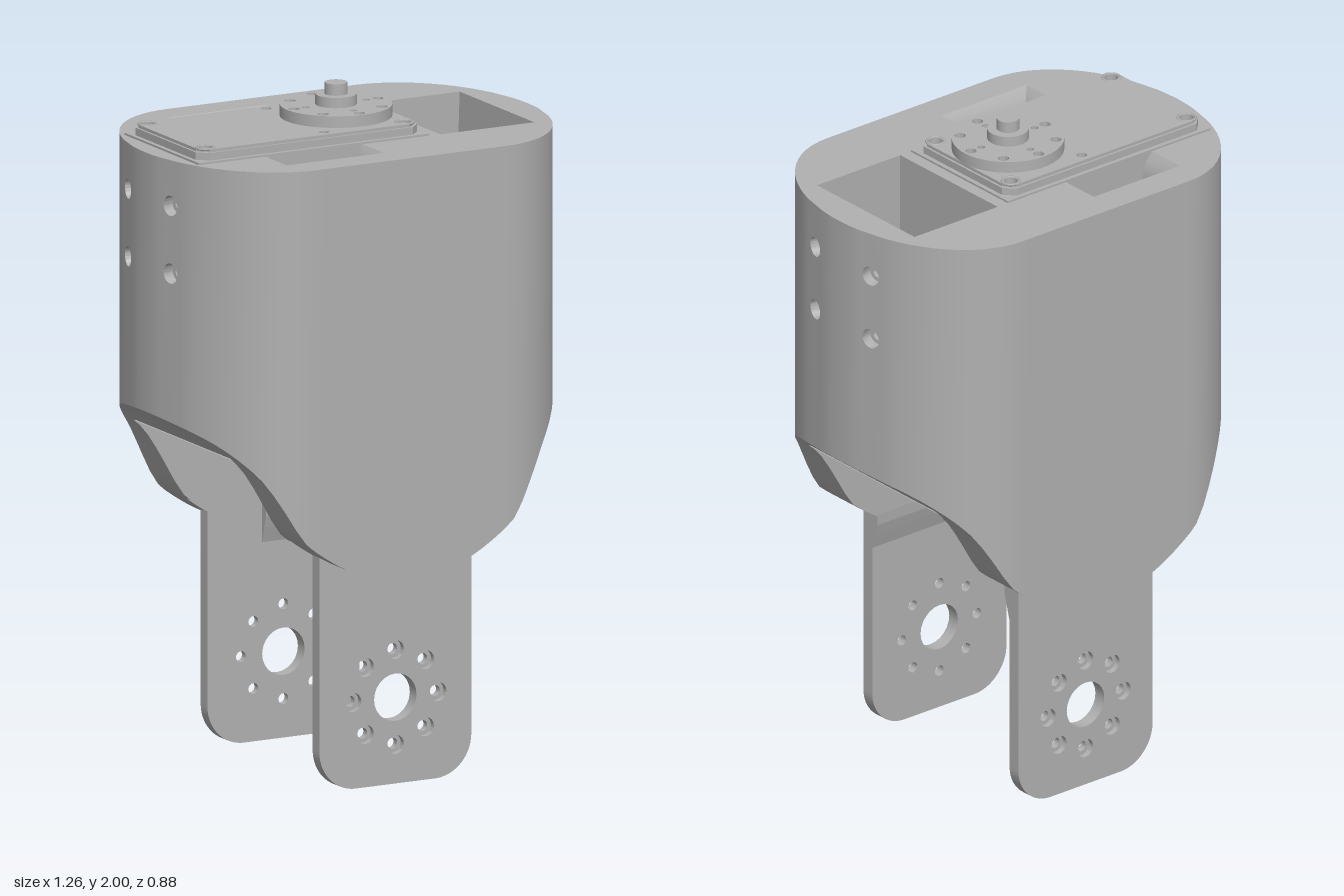
import * as THREE from 'three';
import { toCreasedNormals } from 'three/addons/utils/BufferGeometryUtils.js';

const TOP = 1.865, CEIL = 1.0, EDGE = 0.505;      // housing top, channel ceiling, channel end
const CHANNEL = 0.285, GROOVE = 0.31, STRAP = 0.25;
const WIN = [-0.32, -0.07];                       // cable window, x range
const grey = new THREE.MeshStandardMaterial({ color: 0xb0b0b0, side: THREE.DoubleSide });
grey.name = 'plain grey';

// Lower edge height of the housing as a function of x
const lowerCurve = new THREE.SplineCurve([[0, 0.633], [0.09, 0.637], [0.17, 0.655], [0.25, 0.695], [0.34, 0.76],
  [0.38, 0.82], [0.42, 0.89], [0.47, 0.965], [0.55, 1.045], [0.63, 1.1]].map(p => new THREE.Vector2(...p))).getPoints(80);
function lower(x) {
  const a = Math.min(Math.abs(x), 0.63);
  const i = Math.max(1, lowerCurve.findIndex(p => p.x >= a - 1e-6));
  const p = lowerCurve[i - 1], q = lowerCurve[i];
  return p.y + (q.y - p.y) * (a - p.x) / (q.x - p.x);
}
const outerZ = x => 0.44 * Math.sqrt(Math.max(0, 1 - (Math.max(0, Math.abs(x) - 0.31) / 0.32) ** 2));
const innerZ = x => (x > WIN[0] && x < WIN[1] ? GROOVE : CHANNEL);

const add = (group, name, geo) => {
  const m = new THREE.Mesh(geo, grey);
  m.name = name;
  group.add(m);
  return m;
};
const quad = (out, a, b, c, d) => out.push(...a, ...b, ...c, ...a, ...c, ...d);
function skin(out) {
  const g = new THREE.BufferGeometry();
  g.setAttribute('position', new THREE.Float32BufferAttribute(out, 3));
  g.computeVertexNormals();
  return toCreasedNormals(g, 0.5);
}
const polygon = (pts, Kind = THREE.Shape) => new Kind(pts.map(p => new THREE.Vector2(p[0], p[1])));
const rect = (x0, x1, z0, z1) => polygon([[x0, z0], [x1, z0], [x1, z1], [x0, z1]], THREE.Path);
const circle = (x, y, r) => new THREE.Path().absarc(x, y, r, 0, Math.PI * 2, true);
// Horizontal flat face from a shape drawn in x and z
function flat(shape, y) {
  const p = new THREE.ShapeGeometry(shape, 12).toNonIndexed().attributes.position, out = [];
  for (let i = 0; i < p.count; i++) out.push(p.getX(i), y, p.getY(i));
  return skin(out);
}
// Horizontal slab from a shape drawn in x and z
function slab(shape, y, h) {
  return new THREE.ExtrudeGeometry(shape, { depth: h, bevelEnabled: false, curveSegments: 16 })
    .rotateX(-Math.PI / 2).translate(0, y, 0);
}
// Walls between stacked rectangles [y, x0, x1, z0, z1]
function shaft(rings) {
  const out = [], c = ([y, a, b, d, e]) => [[a, y, d], [b, y, d], [b, y, e], [a, y, e]];
  for (let i = 0; i + 1 < rings.length; i++) {
    const p = c(rings[i]), q = c(rings[i + 1]);
    for (let k = 0; k < 4; k++) quad(out, p[k], p[(k + 1) % 4], q[(k + 1) % 4], q[k]);
  }
  return skin(out);
}

// Rounded outline; the wide facet carries the screw holes
function outlinePoints() {
  const ts = [0, 0.09, 0.183, 0.397];
  for (let i = 1; i <= 12; i++) ts.push(0.397 + (Math.PI / 2 - 0.397) * i / 12);
  const all = [...ts.slice(1).reverse().map(t => -t), ...ts];
  const end = all.map(t => [0.31 + 0.32 * Math.cos(t), 0.44 * Math.sin(t)]);
  const side = [];
  for (let i = 1; i < 24; i++) side.push([0.31 - 0.62 * i / 24, 0.44]);
  const half = [...end, ...side];
  return [...half, ...half.map(([x, z]) => [-x, -z])];
}

function buildHousing() {
  const g = new THREE.Group();
  g.name = 'housing';
  const pts = outlinePoints(), wall = [];

  // Outer wall with countersunk side screw holes
  pts.forEach((a, i) => {
    const b = pts[(i + 1) % pts.length];
    const mx = (a[0] + b[0]) / 2, mz = (a[1] + b[1]) / 2, len = Math.hypot(b[0] - a[0], b[1] - a[1]);
    if (Math.abs(mx) < 0.6 || Math.abs(Math.abs(mz) - 0.125) > 0.01) {
      quad(wall, [a[0], TOP, a[1]], [b[0], TOP, b[1]], [b[0], lower(b[0]), b[1]], [a[0], lower(a[0]), a[1]]);
      return;
    }
    const s = polygon([[0, TOP], [len, TOP], [len, lower(b[0])], [0, lower(a[0])]]);
    const n = new THREE.Vector3(b[1] - a[1], 0, a[0] - b[0]).normalize();
    for (const y of [1.73, 1.53]) {
      s.holes.push(circle(len / 2, y, 0.03));
      const profile = [[0.03, 0], [0.03, -0.035], [0.018, -0.035], [0.018, -0.08], [0, -0.08]];
      const hole = add(g, 'sideScrewHole', toCreasedNormals(
        new THREE.LatheGeometry(profile.map(p => new THREE.Vector2(...p)), 20), 0.5));
      hole.quaternion.setFromUnitVectors(new THREE.Vector3(0, 1, 0), n);
      hole.position.set(mx, y, mz);
    }
    const p = new THREE.ShapeGeometry(s, 12).toNonIndexed().attributes.position;
    // reversed corner order keeps this facet consistent with its neighbours
    for (let k = 0; k < p.count; k++) {
      const j = k - (k % 3) + [0, 2, 1][k % 3], u = p.getX(j) / len;
      wall.push(a[0] + (b[0] - a[0]) * u, p.getY(j), a[1] + (b[1] - a[1]) * u);
    }
  });
  // the plain quads run the same way round as the reversed facets
  add(g, 'outerWall', skin(wall));

  // Top face with the well and the two windows
  const top = polygon(pts);
  top.holes.push(rect(0.22, 0.53, -0.22, 0.22), rect(-0.355, -0.035, 0.22, 0.345), rect(-0.355, -0.035, -0.345, -0.22));
  add(g, 'topFace', flat(top, TOP));
  add(g, 'wellWalls', shaft([[TOP, 0.22, 0.53, -0.22, 0.22], [CEIL, 0.22, 0.5, -0.22, 0.22]]));
  for (const s of [1, -1]) {
    add(g, 'windowWalls', shaft([[TOP, -0.355, -0.035, 0.345], [1.84, -0.335, -0.055, 0.325],
      [1.81, -0.323, -0.067, 0.313], [1.78, ...WIN, GROOVE], [CEIL, ...WIN, GROOVE]]
      .map(([y, a, b, z]) => [y, a, b, s * 0.22, s * z])));
  }

  // Channel ceiling, notched at the windows
  const [w0, w1] = WIN, C = CHANNEL;
  const ceiling = polygon([[-EDGE, -C], [w0, -C], [w0, -0.22], [w1, -0.22], [w1, -C], [EDGE, -C],
    [EDGE, C], [w1, C], [w1, 0.22], [w0, 0.22], [w0, C], [-EDGE, C]]);
  ceiling.holes.push(rect(0.22, 0.5, -0.22, 0.22));
  add(g, 'channelCeiling', flat(ceiling, CEIL));

  // Curved lower rim and the inner channel walls
  const xs = [...new Set([...pts.map(p => p[0]), ...WIN, -EDGE, EDGE, -STRAP, STRAP].map(x => +x.toFixed(5)))]
    .sort((a, b) => a - b);
  const rim = [], inner = [];
  for (let i = 0; i + 1 < xs.length; i++) {
    const a = xs[i], b = xs[i + 1], m = (a + b) / 2, inside = Math.abs(m) < EDGE, z = innerZ(m);
    const lo = !inside ? 0 : Math.abs(m) < STRAP ? 0.33 : z;
    const floor = x => Math.min(CEIL, Math.abs(m) < STRAP ? Math.max(lower(x), 0.7) : lower(x));
    for (const s of [1, -1]) {
      quad(rim, [a, lower(a), s * lo], [b, lower(b), s * lo], [b, lower(b), s * outerZ(b)], [a, lower(a), s * outerZ(a)]);
      if (!inside) continue;
      quad(inner, [a, CEIL, s * z], [b, CEIL, s * z], [b, floor(b), s * z], [a, floor(a), s * z]);
      if (WIN.includes(a)) {
        quad(inner, [a, CEIL, s * C], [a, CEIL, s * GROOVE], [a, floor(a), s * GROOVE], [a, floor(a), s * C]);
      }
    }
  }
  add(g, 'lowerRim', skin(rim));
  add(g, 'channelWalls', skin(inner));
  return g;
}

// Mounting strap: thin inner layer with small holes, outer layer with counterbores
function buildStrap(side) {
  const g = new THREE.Group();
  g.name = side > 0 ? 'frontStrap' : 'backStrap';
  for (const [r, z, depth] of [[0.016, GROOVE, 0.022], [0.028, GROOVE + 0.022, 0.018]]) {
    const s = new THREE.Shape();
    s.moveTo(-STRAP, 0.75).lineTo(-STRAP, 0.12);
    s.absarc(-STRAP + 0.12, 0.12, 0.12, Math.PI, Math.PI * 1.5, false);
    s.absarc(STRAP - 0.12, 0.12, 0.12, Math.PI * 1.5, Math.PI * 2, false);
    s.lineTo(STRAP, 0.75);
    s.holes.push(circle(0, 0.255, 0.07));
    for (let i = 0; i < 8; i++) {
      const t = i * Math.PI / 4;
      s.holes.push(circle(0.14 * Math.cos(t), 0.255 + 0.14 * Math.sin(t), r));
    }
    const geo = new THREE.ExtrudeGeometry(s, { depth, bevelEnabled: false, curveSegments: 12 }).translate(0, 0, z);
    add(g, 'strapPlate', toCreasedNormals(geo, 0.5));
  }
  // Fillet between strap and channel wall
  const f = polygon([[-0.32, 0.7], [-CHANNEL, 0.7], [-0.288, 0.665], [-0.297, 0.63], [-GROOVE, 0.585], [-0.32, 0.585]]);
  add(g, 'strapFillet', new THREE.ExtrudeGeometry(f, { depth: STRAP - WIN[1], bevelEnabled: false })
    .rotateY(Math.PI / 2).translate(WIN[1], 0, 0));
  if (side < 0) g.scale.z = -1;
  return g;
}

function buildServo() {
  const g = new THREE.Group();
  g.name = 'servo';
  const box = (x0, x1, z, c) => polygon([[x0 + c, -z], [x1 - c, -z], [x1, -z + c], [x1, z - c],
    [x1 - c, z], [x0 + c, z], [x0, z - c], [x0, -z + c]]);
  add(g, 'servoFlange', slab(box(-0.575, 0.182, 0.22, 0.002), 1.855, 0.016));
  // Cover with screw recesses
  const cover = box(-0.562, 0.168, 0.207, 0.03), cap = box(-0.555, 0.161, 0.2, 0.03);
  for (const s of [cover, cap]) {
    for (const z of [-0.17, 0.17]) s.holes.push(circle(-0.525, z, 0.02), circle(0.13, z, 0.02), circle(-0.135, z, 0.015));
  }
  add(g, 'servoCover', slab(cover, 1.865, 0.028));
  add(g, 'servoCoverTop', slab(cap, 1.893, 0.009));
  for (const x of [-0.525, 0.13]) for (const z of [-0.17, 0.17]) {
    add(g, 'screwCollar', new THREE.TorusGeometry(0.026, 0.004, 6, 24).rotateX(Math.PI / 2)).position.set(x, 1.901, z);
  }
  // Output horn, hub and shaft
  const horn = new THREE.Shape().absarc(0, 0, 0.162, 0, Math.PI * 2, false);
  for (let i = 0; i < 8; i++) {
    const t = i * Math.PI / 4;
    horn.holes.push(circle(0.138 * Math.cos(t), 0.138 * Math.sin(t), 0.016));
    if (i % 2 === 0) horn.holes.push(circle(0.1 * Math.cos(t), 0.1 * Math.sin(t), 0.011));
  }
  const disc = new THREE.ExtrudeGeometry(horn, { depth: 0.034, bevelEnabled: false, curveSegments: 32 });
  add(g, 'outputHorn', toCreasedNormals(disc.rotateX(-Math.PI / 2).translate(0, 1.902, 0), 0.5));
  add(g, 'hornHub', new THREE.CylinderGeometry(0.06, 0.06, 0.035, 32)).position.y = 1.949;
  add(g, 'outputShaft', new THREE.CylinderGeometry(0.033, 0.033, 0.04, 24)).position.y = 1.98;
  return g;
}

export function createModel() {
  const model = new THREE.Group();
  model.name = 'servoLegSegment';
  model.add(buildHousing(), buildStrap(1), buildStrap(-1), buildServo());
  return model;
}
